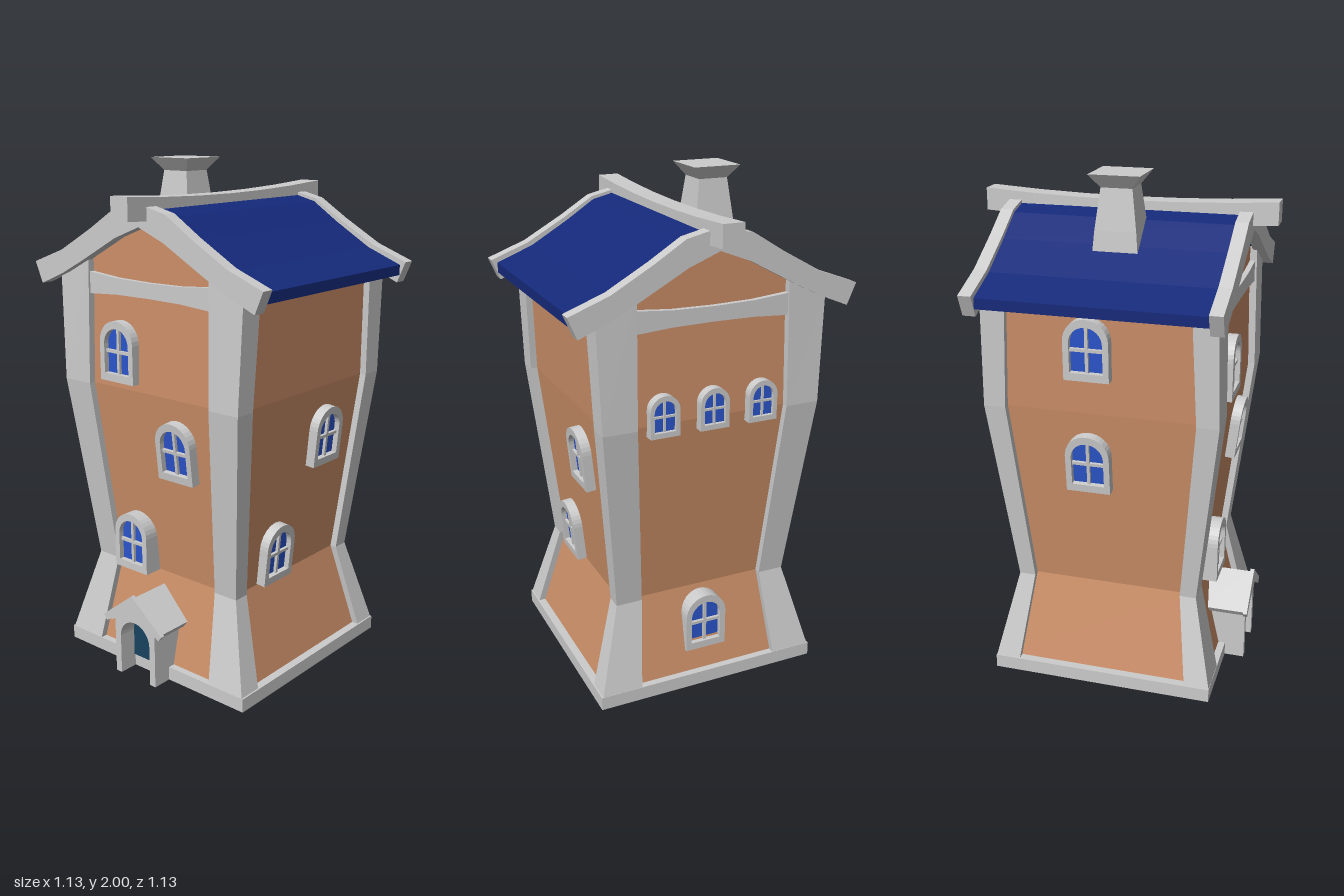
import * as THREE from 'three';

const mat = (color, side = THREE.FrontSide) => new THREE.MeshStandardMaterial({ color, flatShading: true, side });
const GREY = mat(0xcccccc), WALL = mat(0xcc8f68, THREE.DoubleSide), ROOF = mat(0x15297a);
const GLASS = mat(0x2b55cc, THREE.DoubleSide), DOOR = mat(0x17435f);

// Tower profile: height, half width, half depth, post width in x, post width in z
const LEVELS = [
  [0.05, 0.46, 0.445, 0.165, 0.1],
  [0.4, 0.365, 0.365, 0.105, 0.065],
  [1.15, 0.44, 0.45, 0.135, 0.085],
  [1.56, 0.455, 0.44, 0.155, 0.095],
];
const INSET = 0.027;

// Upper and lower curve of one roof slope, ridge to eave
const TOP = [[0, 1.86], [0.13, 1.83], [0.25, 1.755], [0.41, 1.665], [0.565, 1.607]];
const UNDER = [[0, 1.777], [0.12, 1.73], [0.296, 1.634], [0.41, 1.575], [0.53, 1.525]];

// Linear lookup of column k in a table sorted by column 0
function at(table, v, k = 1) {
  let i = 0;
  while (i < table.length - 2 && v > table[i + 1][0]) i++;
  const a = table[i], b = table[i + 1];
  return THREE.MathUtils.lerp(a[k], b[k], THREE.MathUtils.clamp((v - a[0]) / (b[0] - a[0]), 0, 1));
}
const under = (x) => at(UNDER, Math.abs(x));

function add(parent, name, geometry, material = GREY) {
  const mesh = new THREE.Mesh(geometry, material);
  mesh.name = name;
  parent.add(mesh);
  return mesh;
}

// Skin over rows of points; closed rows of four corners also get caps
function loft(rows, closed) {
  const n = rows[0].length, index = [];
  for (let i = 0; i < rows.length - 1; i++) {
    for (let j = 0; j < (closed ? n : n - 1); j++) {
      const k = (j + 1) % n, a = i * n + j, b = i * n + k;
      index.push(a, b, b + n, a, b + n, a + n);
    }
  }
  if (closed) {
    const t = (rows.length - 1) * n;
    index.push(t, t + 1, t + 2, t, t + 2, t + 3, 0, 2, 1, 0, 3, 2);
  }
  const g = new THREE.BufferGeometry();
  g.setAttribute('position', new THREE.Float32BufferAttribute(rows.flat(2), 3));
  g.setIndex(index);
  g.computeVertexNormals();
  return g;
}

// Rectangular ring; yAt gives the height for each x
const ring = (x0, x1, z0, z1, yAt) =>
  [[x0, z1], [x1, z1], [x1, z0], [x0, z0]].map(([x, z]) => [x, yAt(x), z]);

const polygon = (pts) => new THREE.Shape(pts.map(([x, y]) => new THREE.Vector2(x, y)));
const mirrored = (pts) => [...pts.slice().reverse().map(([x, y]) => [-x, y]), ...pts.filter((p) => p[0] > 0)];
// Band between two mirrored curves
const band = (upper, lower) => polygon([...mirrored(lower), ...mirrored(upper).reverse()]);

function extrude(shape, z0, z1) {
  const g = new THREE.ExtrudeGeometry(shape, { depth: z1 - z0, bevelEnabled: false, curveSegments: 8 });
  return g.translate(0, 0, z0);
}

// Round-topped opening
function arch(half, bottom, spring, Type = THREE.Shape) {
  const s = new Type();
  s.moveTo(-half, bottom);
  s.lineTo(half, bottom);
  s.lineTo(half, spring);
  s.absarc(0, spring, half, 0, Math.PI, false);
  s.lineTo(-half, bottom);
  return s;
}

// Window with its front at z = 0 and its sill at y = 0
function makeWindow(name) {
  const w = new THREE.Group();
  w.name = name;
  const frame = arch(0.086, 0, 0.15);
  frame.holes.push(arch(0.063, 0.03, 0.143, THREE.Path));
  add(w, 'windowFrame', extrude(frame, -0.075, 0));
  add(w, 'windowGlass', new THREE.ShapeGeometry(arch(0.066, 0.027, 0.143), 8).translate(0, 0, -0.022));
  w.children[1].material = GLASS;
  add(w, 'windowUpright', new THREE.BoxGeometry(0.012, 0.18, 0.014).translate(0, 0.117, -0.017));
  add(w, 'windowCrossbar', new THREE.BoxGeometry(0.128, 0.012, 0.014).translate(0, 0.115, -0.017));
  return w;
}

export function createModel() {
  const model = new THREE.Group();
  model.name = 'tower';

  // Open base frame
  const base = polygon([[-0.465, -0.445], [0.465, -0.445], [0.465, 0.445], [-0.465, 0.445]]);
  base.holes.push(new THREE.Path([[-0.41, -0.39], [-0.41, 0.39], [0.41, 0.39], [0.41, -0.39]]
    .map(([x, y]) => new THREE.Vector2(x, y))));
  add(model, 'baseFrame', extrude(base, 0, 0.055).rotateX(-Math.PI / 2));

  // Walls: gabled front and back, plain sides
  const ts = [-1, -0.7, -0.5, -0.28, 0, 0.28, 0.5, 0.7, 1];
  const gable = LEVELS.map(([y, w, d]) => ts.map((t) => [t * (w - INSET), Math.min(y, 1.56), d - INSET]));
  gable.push(ts.map((t) => [t * 0.428, under(t * 0.428) + 0.01, 0.413]));
  const side = LEVELS.map(([y, w, d]) => [[w - INSET, y, d - INSET], [w - INSET, y, INSET - d]]);
  side.push([[0.428, 1.6, 0.413], [0.428, 1.6, -0.413]]);
  for (const [i, end] of ['front', 'back'].entries()) {
    add(model, end + 'Wall', loft(gable, false), WALL).rotation.y = i * Math.PI;
  }
  for (const [i, end] of ['left', 'right'].entries()) {
    add(model, end + 'Wall', loft(side, false), WALL).rotation.y = i * Math.PI;
  }

  // Bent corner posts
  for (const sx of [-1, 1]) {
    for (const sz of [-1, 1]) {
      const rows = LEVELS.map(([y, w, d, pw, pd], i) => {
        const xs = [sx * w, sx * (w - pw)].sort((a, b) => a - b);
        const zs = [sz * d, sz * (d - pd)].sort((a, b) => a - b);
        return ring(...xs, ...zs, (x) => (i === 3 ? under(x) + 0.015 : y));
      });
      add(model, 'cornerPost', loft(rows, true));
    }
  }

  // Sagging tie beams and barge boards at both gables
  const tie = band([[0, 1.572], [0.16, 1.575], [0.31, 1.588]], [[0, 1.515], [0.16, 1.513], [0.31, 1.503]]);
  const barge = band(TOP, UNDER);
  for (const i of [0, 1]) {
    add(model, 'tieBeam', extrude(tie, 0.38, 0.434)).rotation.y = i * Math.PI;
    add(model, 'bargeBoard', extrude(barge, 0.424, 0.474)).rotation.y = i * Math.PI;
  }

  // Roof covering
  const lower = (dy) => TOP.map(([x, y]) => [x * 0.956, y - dy]);
  add(model, 'roof', extrude(band(lower(0.012), lower(0.052)), -0.424, 0.424), ROOF);

  // Ridge beam, rising towards its ends
  const ridge = new THREE.BoxGeometry(0.084, 0.085, 1.134, 1, 1, 6);
  const p = ridge.attributes.position;
  for (let i = 0; i < p.count; i++) p.setY(i, p.getY(i) + 1.828 + 0.02 * (p.getZ(i) / 0.567) ** 2);
  add(model, 'ridgeBeam', ridge);

  // Chimney with flared cap
  const flue = [[1.66, 0.09], [1.8, 0.078], [1.95, 0.059], [2, 0.096]];
  add(model, 'chimney', loft(flue.map(([y, h]) => ring(-h, h, -h, h, () => y)), true)).position.set(-0.185, 0, 0.015);

  // Windows: face turn, sideways offset, sill height, scale, fixed distance when upright
  const H = Math.PI / 2;
  const windows = [
    ['frontWindow', 0, -0.15, 1.18, 1, 0.455],
    ['frontWindow', 0, 0.12, 0.83, 1],
    ['frontWindow', 0, -0.135, 0.4, 1, 0.418],
    ['leftWindow', H, 0.13, 0.83, 1],
    ['leftWindow', H, -0.12, 0.4, 1],
    ['rightWindow', -H, -0.04, 1.29, 1],
    ['rightWindow', -H, -0.05, 0.83, 1],
    ['backWindow', 2 * H, 0, 0.143, 1, 0.41],
    ...[-0.2, 0, 0.2].map((u) => ['smallBackWindow', 2 * H, u, 1.11, 0.68, 0.457]),
  ];
  for (const [name, turn, u, y, scale, fixed] of windows) {
    const k = Math.abs(turn) === H ? 1 : 2;
    const rise = at(LEVELS, y + 0.2, k) - at(LEVELS, y, k);
    const out = fixed ?? at(LEVELS, y, k) + 0.012;
    const w = makeWindow(name);
    w.rotation.set(fixed ? 0 : Math.atan(rise / 0.2), turn, 0, 'YXZ');
    w.position.set(u, y, out).applyAxisAngle(new THREE.Vector3(0, 1, 0), turn);
    w.scale.setScalar(scale);
    model.add(w);
  }

  // Porch with arched doorway and small pitched roof
  const porch = new THREE.Group();
  porch.name = 'porch';
  porch.position.x = -0.018;
  const surround = new THREE.Shape();
  surround.moveTo(0.078, 0);
  for (const [x, y] of [[0.107, 0], [0.107, 0.245], [0, 0.32], [-0.107, 0.245], [-0.107, 0], [-0.078, 0], [-0.078, 0.163]]) {
    surround.lineTo(x, y);
  }
  surround.absarc(0, 0.163, 0.078, Math.PI, 0, true);
  surround.lineTo(0.078, 0);
  add(porch, 'doorSurround', extrude(surround, 0.38, 0.524));
  add(porch, 'door', extrude(arch(0.08, 0.05, 0.163), 0.36, 0.45), DOOR);
  add(porch, 'porchRoof', extrude(band([[0, 0.35], [0.145, 0.238]], [[0, 0.3], [0.13, 0.215]]), 0.34, 0.522));
  add(porch, 'porchRoofTrim', extrude(band([[0, 0.362], [0.157, 0.238]], [[0, 0.305], [0.14, 0.216]]), 0.522, 0.538));
  model.add(porch);

  return model;
}
